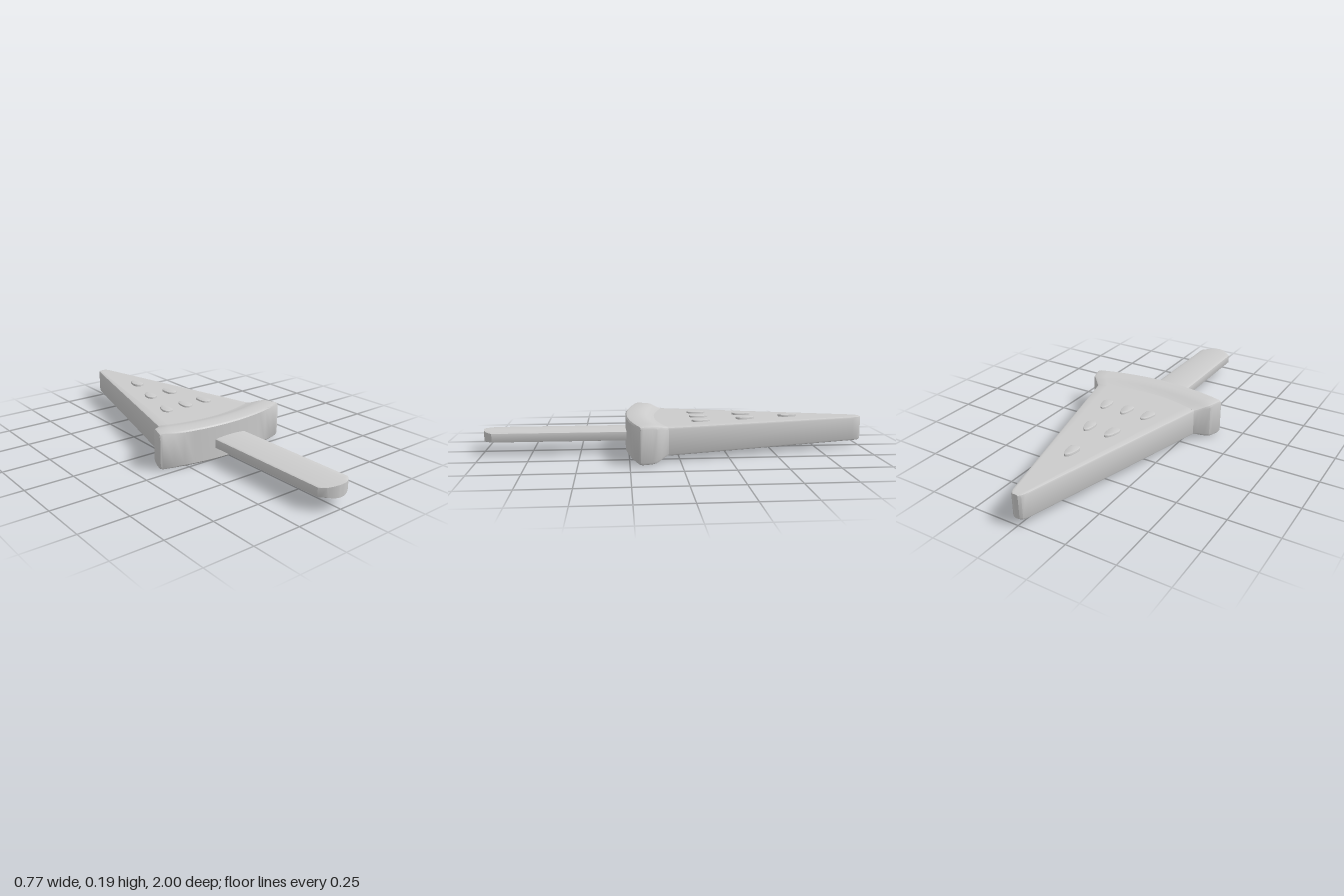
import * as THREE from 'three';
import { toCreasedNormals } from 'three/addons/utils/BufferGeometryUtils.js';

const material = new THREE.MeshStandardMaterial({ color: 0xcccccc, side: THREE.DoubleSide });
const SEGMENTS = 14;

// Lofts rounded slabs along z. Station: [z, half width, bottom y, top y, sag].
// Sag pulls the sides back in z; bulge thins the slab towards its sides.
function loft(stations, radius, bulge = 0) {
  const positions = [], index = [];
  const n = SEGMENTS + 5;
  for (const [z, w, y0, y1, sag] of stations) {
    const r = Math.min(radius, w * 0.5);
    const row = [[-w, r], [-w + 0.3 * r, 0.3 * r]];
    for (let i = 0; i <= SEGMENTS; i++) row.push([(w - r) * (2 * i / SEGMENTS - 1), 0]);
    row.push([w - 0.3 * r, 0.3 * r], [w, r]);
    const add = (x, y) => positions.push(x, y, z - sag * (x / w) ** 2);
    const inset = (x, drop) => drop + bulge * (x / w) ** 2;
    row.forEach(([x, drop]) => add(x, y1 - inset(x, drop)));
    row.reverse().forEach(([x, drop]) => add(x, y0 + inset(x, drop)));
  }
  const ring = 2 * n, last = (stations.length - 1) * ring;
  for (let j = 0; j < stations.length - 1; j++) {
    for (let i = 0; i < ring; i++) {
      const a = j * ring + i, b = j * ring + (i + 1) % ring;
      index.push(a, a + ring, b + ring, a, b + ring, b);
    }
  }
  // End caps run in strips from the top row to the bottom row
  for (let i = 0; i < n - 1; i++) {
    const t = i, t2 = i + 1, b = ring - 1 - i, b2 = ring - 2 - i;
    index.push(last + t, last + b, last + b2, last + t, last + b2, last + t2);
    index.push(t, b2, b, t, t2, b2);
  }
  const geometry = new THREE.BufferGeometry();
  geometry.setAttribute('position', new THREE.Float32BufferAttribute(positions, 3));
  geometry.setIndex(index);
  return toCreasedNormals(geometry, 0.6);
}

// Teardrop pip, pointed end towards -z, raised along +y
function seedGeometry() {
  const shape = new THREE.Shape();
  shape.moveTo(0, 0.046);
  shape.bezierCurveTo(0.016, 0.044, 0.024, 0.004, 0.024, -0.02);
  shape.bezierCurveTo(0.024, -0.054, -0.024, -0.054, -0.024, -0.02);
  shape.bezierCurveTo(-0.024, 0.004, -0.016, 0.044, 0, 0.046);
  const geometry = new THREE.ExtrudeGeometry(shape, {
    depth: 0.022, curveSegments: 8, bevelEnabled: true,
    bevelThickness: 0.005, bevelSize: 0.004, bevelSegments: 2,
  });
  geometry.rotateX(-Math.PI / 2);
  return toCreasedNormals(geometry, 0.6);
}

export function createModel() {
  const group = new THREE.Group();
  const add = (name, geometry) => {
    const mesh = new THREE.Mesh(geometry, material);
    mesh.name = name;
    group.add(mesh);
    return mesh;
  };

  // Tapering wedge with a rounded tip
  add('flesh', loft([
    [-1, 0.014, 0.037, 0.16, 0.002],
    [-0.992, 0.027, 0.034, 0.162, 0.002],
    [-0.975, 0.036, 0.033, 0.163, 0.002],
    [-0.95, 0.043, 0.033, 0.163, 0.002],
    [0.12, 0.3, 0.026, 0.169, 0.06],
    [0.16, 0.3, 0.026, 0.169, 0.06],
  ], 0.01));

  // Thicker curved rind, flaring smoothly out of the wedge
  add('rind', loft([
    [0.115, 0.298, 0.026, 0.169, 0.06],
    [0.135, 0.317, 0.021, 0.173, 0.06],
    [0.158, 0.341, 0.01, 0.182, 0.06],
    [0.178, 0.363, 0.003, 0.188, 0.06],
    [0.2, 0.371, 0, 0.19, 0.06],
    [0.247, 0.385, 0, 0.19, 0.062],
    [0.26, 0.387, 0.003, 0.187, 0.063],
    [0.266, 0.385, 0.01, 0.18, 0.064],
  ], 0.014));

  // Flat stick, slightly thicker along its middle, with a rounded end
  add('stick', loft([
    [0.1, 0.095, 0.058, 0.119, 0],
    [0.96, 0.095, 0.058, 0.119, 0.012],
    [0.985, 0.087, 0.058, 0.119, 0.028],
    [1, 0.068, 0.058, 0.119, 0.025],
  ], 0.001, 0.008));

  // Seeds on both faces, leaning towards the tip
  const seed = seedGeometry();
  const spots = [[0, -0.6], [-0.065, -0.36], [0.065, -0.36], [-0.125, -0.12], [0, -0.12], [0.125, -0.12]];
  for (const [x, z] of spots) {
    const lean = Math.sign(x) * 0.15;
    const top = add('topSeed', seed);
    top.position.set(x, 0.15, z);
    top.rotation.y = lean;
    const bottom = add('bottomSeed', seed);
    bottom.position.set(x, 0.048, z);
    bottom.rotation.set(0, lean, Math.PI);
  }
  return group;
}
